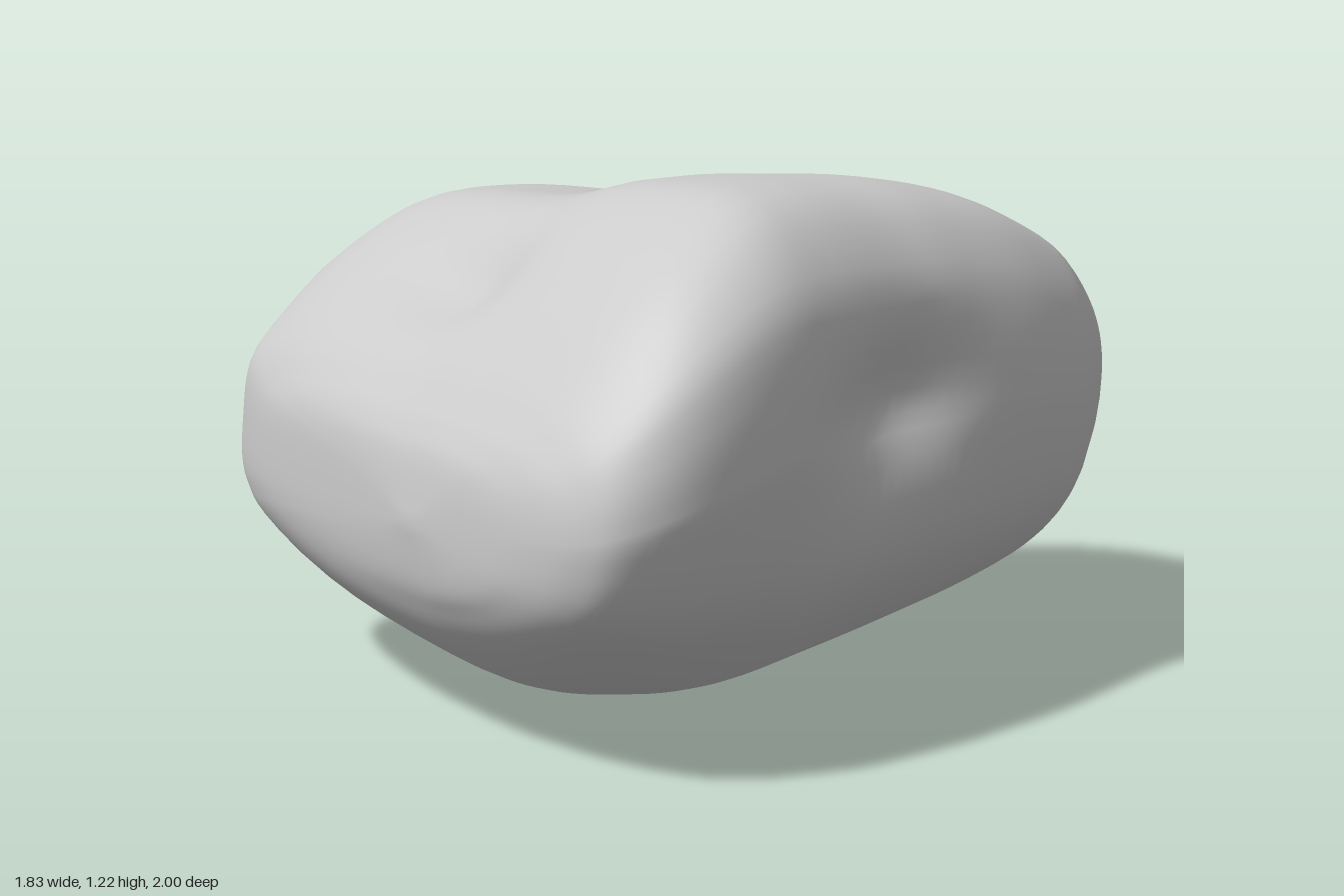
import * as THREE from 'three';
import { mergeVertices } from 'three/addons/utils/BufferGeometryUtils.js';

// Cross-sections from back to front: z, xMin, xMax, yMin, yMax, lopsidedness
const SECTIONS = [
  [-1.0, 0.09, 0.09, 0.68, 0.68, 0.2],
  [-0.98, -0.01, 0.18, 0.62, 0.74, 0.2],
  [-0.95, -0.08, 0.25, 0.56, 0.80, 0.2],
  [-0.88, -0.22, 0.37, 0.44, 0.89, 0.25],
  [-0.77, -0.35, 0.48, 0.30, 0.995, 0.3],
  [-0.66, -0.43, 0.56, 0.205, 1.06, 0.35],
  [-0.45, -0.54, 0.65, 0.145, 1.145, 0.45],
  [-0.2, -0.67, 0.715, 0.085, 1.20, 0.65],
  [0.0, -0.79, 0.76, 0.04, 1.22, 0.8],
  [0.23, -0.91, 0.82, 0.0, 1.23, 1],
  [0.42, -0.89, 0.875, 0.03, 1.215, 1],
  [0.6, -0.855, 0.91, 0.075, 1.12, 0.95],
  [0.74, -0.81, 0.91, 0.135, 1.0, 0.85],
  [0.85, -0.76, 0.87, 0.21, 0.88, 0.65],
  [0.91, -0.61, 0.8, 0.27, 0.8, 0.5],
  [0.95, -0.4, 0.7, 0.33, 0.74, 0.4],
  [0.98, -0.02, 0.54, 0.4, 0.67, 0.3],
  [1.0, 0.27, 0.27, 0.53, 0.53, 0.3],
];

// Lopsided outline of the widest section, counter-clockwise from the +x side
const OUTLINE = [
  [0.91, 0.66], [0.91, 0.87], [0.86, 1.06], [0.67, 1.21], [0.27, 1.21], [-0.05, 1.15],
  [-0.53, 1.11], [-0.77, 1.03], [-0.87, 0.93], [-0.89, 0.72], [-0.915, 0.5], [-0.88, 0.38],
  [-0.77, 0.27], [-0.3, 0.07], [0.1, 0.0], [0.33, 0.04], [0.55, 0.14], [0.8, 0.35],
].map(([x, y]) => new THREE.Vector2(x / 0.915, (y - 0.615) / 0.615));

// Soft hollows: centre, radii, push
const DENTS = [
  { at: [0.76, 0.74, 0.04], size: [0.4, 0.14, 0.22], push: [-0.1, 0, 0] },
  { at: [-0.74, 0.7, -0.1], size: [0.4, 0.14, 0.22], push: [0.1, 0, 0] },
  { at: [-0.2, 1.15, -0.1], size: [0.28, 0.3, 0.28], push: [0, -0.07, 0] },
  { at: [-0.04, 0.94, 0.65], size: [0.22, 0.15, 0.14], push: [0, -0.06, -0.06] },
];

function dent(p) {
  const move = new THREE.Vector3();
  for (const { at, size, push } of DENTS) {
    const d = p.toArray().reduce((s, v, k) => s + ((v - at[k]) / size[k]) ** 2, 0);
    move.addScaledVector(new THREE.Vector3(...push), Math.exp(-d));
  }
  return p.add(move);
}

// Nearest point on a unit superellipse along the same direction
function rounded(o, n = 2.4) {
  const r = (Math.abs(o.x) ** n + Math.abs(o.y) ** n) ** (1 / n);
  return o.clone().divideScalar(r);
}

function boulderGeometry(rings = 85, sides = 72) {
  const loop = new THREE.SplineCurve([...OUTLINE, OUTLINE[0]]).getPoints(sides).slice(0, sides);
  const profile = new THREE.CubicInterpolant(SECTIONS.map((_, i) => i), SECTIONS.flat(), 6);
  const positions = [], index = [];
  for (let j = 0; j <= rings; j++) {
    const [z, x0, x1, y0, y1, lopsided] = profile.evaluate((j / rings) * (SECTIONS.length - 1));
    for (const o of loop) {
      // blend from a regular rounded section at the ends to the full outline
      const q = rounded(o).lerp(o, lopsided);
      const p = new THREE.Vector3(
        (x0 + x1) / 2 + (q.x * (x1 - x0)) / 2,
        (y0 + y1) / 2 + (q.y * (y1 - y0)) / 2,
        z,
      );
      positions.push(...dent(p).toArray());
    }
  }
  for (let j = 0; j < rings; j++) {
    for (let i = 0; i < sides; i++) {
      const a = j * sides + i, b = j * sides + ((i + 1) % sides);
      // skip the collapsed triangle at each pole
      if (j > 0) index.push(a, b, a + sides);
      if (j < rings - 1) index.push(b, b + sides, a + sides);
    }
  }
  const geometry = new THREE.BufferGeometry();
  geometry.setAttribute('position', new THREE.Float32BufferAttribute(positions, 3));
  geometry.setIndex(index);
  const merged = mergeVertices(geometry, 1e-5);
  merged.computeVertexNormals();
  return merged;
}

export function createModel() {
  const group = new THREE.Group();
  group.name = 'rock';
  const boulder = new THREE.Mesh(
    boulderGeometry(),
    new THREE.MeshStandardMaterial({ color: 0xcccccc }),
  );
  boulder.name = 'boulder';
  group.add(boulder);
  return group;
}
